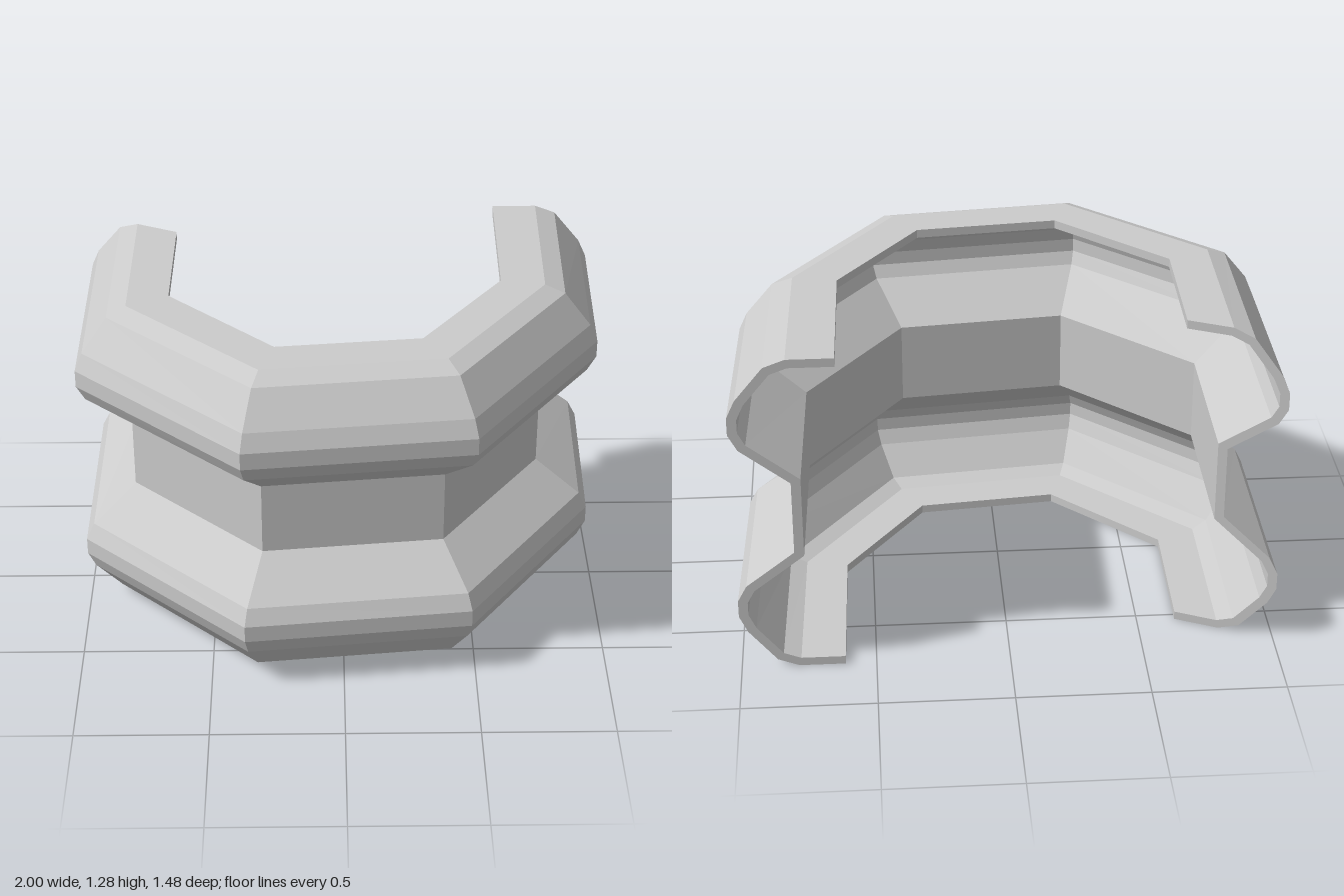
import * as THREE from 'three';

const DEPTH = 0.36, WALL = 0.033;

// upper half of the corrugated section: [outward depth, y], then mirrored about mid height
const HEIGHT = 1.28;
const upper = [[0, 1.28], [0.16, 1.28], [0.234, 1.25], [0.331, 1.123],
  [0.36, 1.055], [0.36, 0.988], [0.329, 0.925], [0.16, 0.785]];
const outer = [...upper, ...upper.map(([d, y]) => [d, HEIGHT - y]).reverse()];

// joints along the bend, left end to right end: [inner x, inner z, outer x, outer z]
const joints = [
  [-0.645, -0.53, -1, -0.69],
  [-0.65, -0.01, -1, 0.16],
  [-0.25, 0.375, -0.37, 0.74],
  [0.29, 0.32, 0.48, 0.65],
  [0.603, -0.115, 0.975, -0.04],
  [0.615, -0.742, 1, -0.742],
];

// shifts the section inward by the wall thickness, mitring its corners
function offset(line, t) {
  const normals = line.slice(1).map(([d, y], i) => {
    const e = new THREE.Vector2(d - line[i][0], y - line[i][1]).normalize();
    return new THREE.Vector2(e.y, -e.x);
  });
  return line.map(([d, y], i) => {
    const a = normals[Math.max(i - 1, 0)], b = normals[Math.min(i, normals.length - 1)];
    const k = t / (1 + a.dot(b));
    return [d + (a.x + b.x) * k, y + (a.y + b.y) * k];
  });
}

function bentRail() {
  const inner = offset(outer, WALL);
  const section = [...outer, ...inner.reverse()];
  const n = section.length;
  const rings = joints.map(([ix, iz, ox, oz]) => section.map(([d, y]) => {
    const t = d / DEPTH;
    return [ix + (ox - ix) * t, y, iz + (oz - iz) * t];
  }));

  const positions = [];
  const quad = (a, b, c, d) => positions.push(...a, ...b, ...c, ...a, ...c, ...d);

  // walls between neighbouring joints
  for (let j = 0; j < rings.length - 1; j++) {
    for (let i = 0; i < n; i++) {
      const k = (i + 1) % n;
      quad(rings[j][i], rings[j][k], rings[j + 1][k], rings[j + 1][i]);
    }
  }
  // cut ends
  const first = rings[0], last = rings[rings.length - 1];
  for (let i = 0; i < outer.length - 1; i++) {
    const p = n - 1 - i;
    quad(last[i], last[i + 1], last[p - 1], last[p]);
    quad(first[p], first[p - 1], first[i + 1], first[i]);
  }

  const geometry = new THREE.BufferGeometry();
  geometry.setAttribute('position', new THREE.Float32BufferAttribute(positions, 3));
  geometry.computeVertexNormals();
  return geometry;
}

export function createModel() {
  const group = new THREE.Group();
  group.name = 'corrugatedRailEnd';
  const rail = new THREE.Mesh(bentRail(),
    new THREE.MeshStandardMaterial({ color: 0xcccccc, flatShading: true }));
  rail.name = 'bentRail';
  group.add(rail);
  return group;
}
